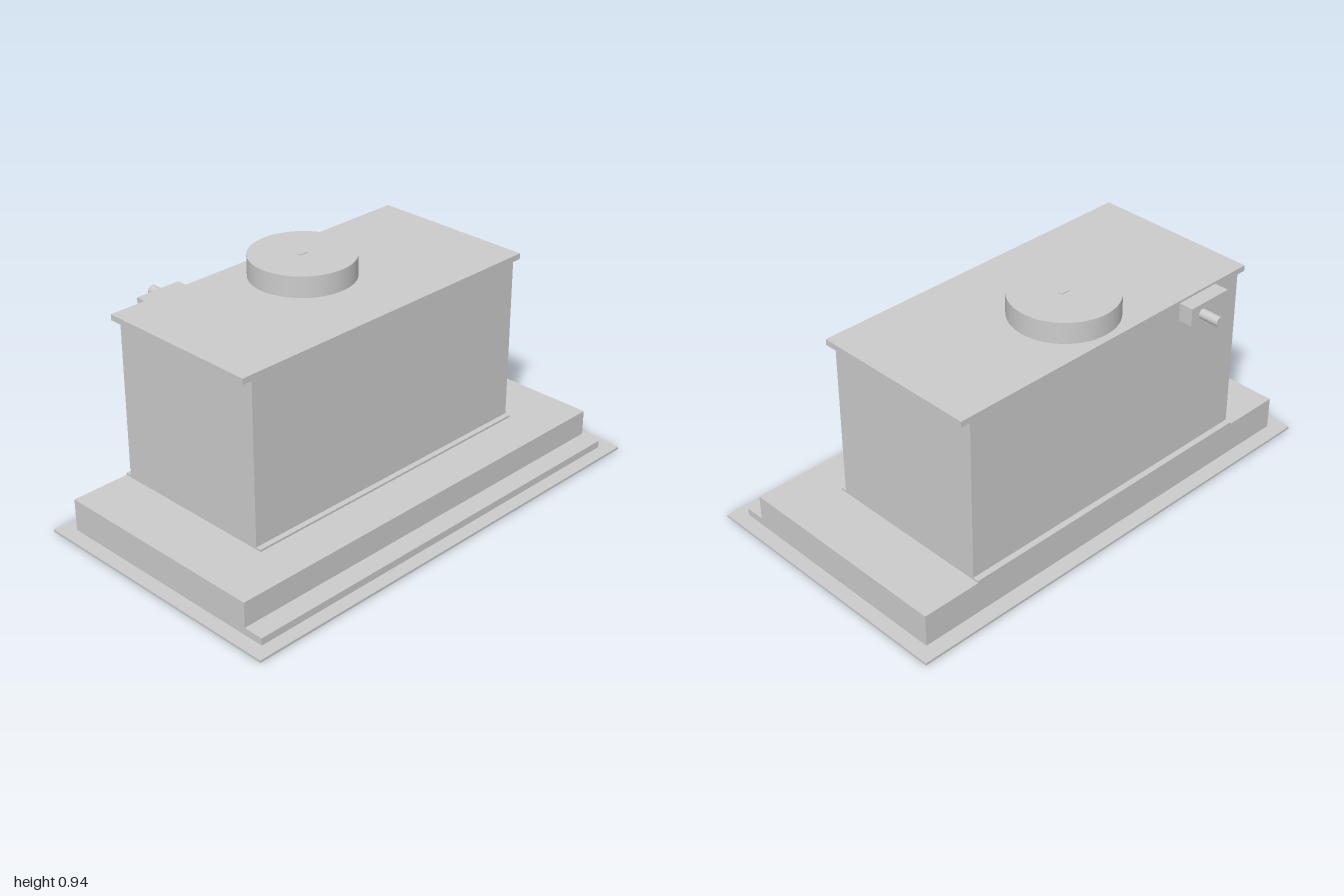
import * as THREE from 'three';

export function createModel() {
  const group = new THREE.Group();
  const material = new THREE.MeshStandardMaterial({ color: 0xcccccc });

  function add(name, geometry) {
    const mesh = new THREE.Mesh(geometry, material);
    mesh.name = name;
    group.add(mesh);
    return mesh;
  }
  // Box given by its extents on each axis
  function box(name, [x0, x1], [y0, y1], [z0, z1]) {
    const g = new THREE.BoxGeometry(x1 - x0, y1 - y0, z1 - z0);
    g.translate((x0 + x1) / 2, (y0 + y1) / 2, (z0 + z1) / 2);
    return add(name, g);
  }
  function rect(path, x, z0, z1) {
    path.moveTo(-x, -z0);
    path.lineTo(x, -z0);
    path.lineTo(x, -z1);
    path.lineTo(-x, -z1);
    path.closePath();
    return path;
  }

  // Thin trim frame around the recessed underside
  const frame = rect(new THREE.Shape(), 1, 0.6, -0.545);
  frame.holes.push(rect(new THREE.Path(), 0.91, 0.53, -0.455));
  const frameGeometry = new THREE.ExtrudeGeometry(frame, { depth: 0.01, bevelEnabled: false });
  frameGeometry.rotateX(-Math.PI / 2);
  add('trimFrame', frameGeometry);

  // Underside panel, with two filter panels meeting at the centre
  box('undersidePanel', [-0.92, 0.92], [0.006, 0.012], [-0.46, 0.535]);
  for (const s of [-1, 1]) {
    const inner = 0.003 * s, outer = 0.76 * s;
    box('filterPanel', [Math.min(inner, outer), Math.max(inner, outer)], [0.004, 0.007], [-0.28, 0.47]);
    // Latch
    box('filterLatch', [0.415 * s - 0.045, 0.415 * s + 0.045], [0.0025, 0.005], [0.35, 0.41]);
    box('latchGrip', [0.415 * s - 0.025, 0.415 * s + 0.025], [0.0015, 0.003], [0.365, 0.385]);
    // Lamp
    const lamp = add('lamp', new THREE.CylinderGeometry(0.06, 0.06, 0.004, 32));
    lamp.position.set(0.415 * s, 0.005, -0.36);
  }

  // Row of control buttons near the left edge
  for (let i = 0; i < 6; i++) {
    const button = add('controlButton', new THREE.CylinderGeometry(0.014, 0.014, 0.003, 16));
    button.position.set(0.835, 0.005, -0.08 + i * 0.09);
  }

  // Stepped base housing
  box('baseHousing', [-0.94, 0.94], [0.01, 0.145], [-0.48, 0.458]);
  box('frontStep', [-0.94, 0.94], [0.01, 0.04], [0.458, 0.543]);

  // Motor housing with its foot flange and overhanging lid
  box('footFlange', [-0.69, 0.69], [0.145, 0.154], [-0.48, 0.273]);
  box('motorHousing', [-0.69, 0.69], [0.15, 0.826], [-0.455, 0.25]);
  box('lid', [-0.73, 0.73], [0.826, 0.85], [-0.455, 0.25]);

  // Exhaust collar with a small centre pivot
  const collar = add('exhaustCollar', new THREE.CylinderGeometry(0.212, 0.212, 0.087, 64));
  collar.position.set(0, 0.8935, -0.212);
  box('collarPivot', [-0.02, 0.02], [0.936, 0.94], [-0.222, -0.202]);

  // Cable box and cable stub at the back
  box('cableBox', [-0.56, -0.36], [0.766, 0.84], [-0.515, -0.455]);
  const cable = add('cableStub', new THREE.CylinderGeometry(0.02, 0.02, 0.09, 24));
  cable.rotation.x = Math.PI / 2;
  cable.position.set(-0.42, 0.797, -0.555);

  return group;
}
